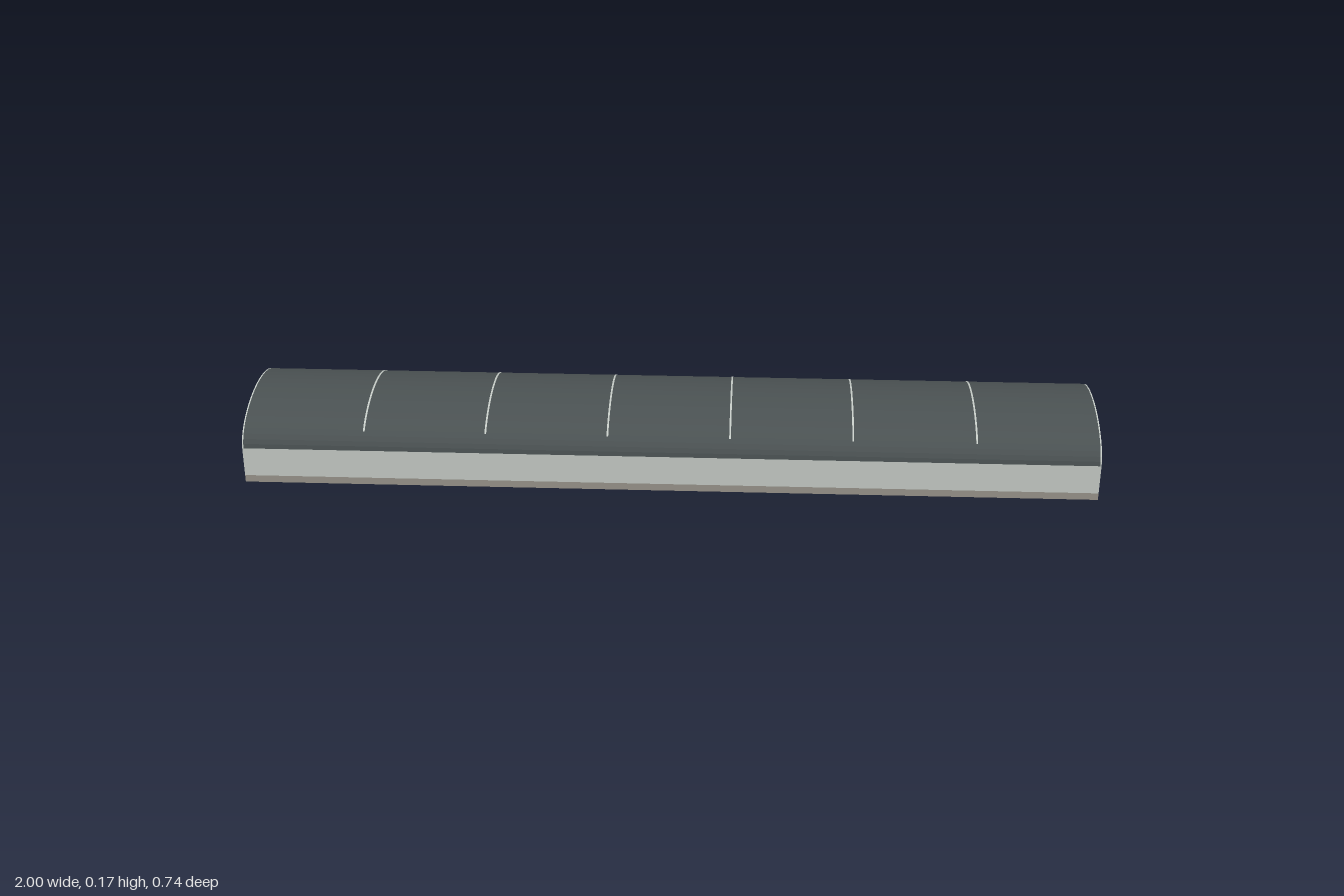
import * as THREE from 'three';

const LENGTH = 1.966, WIDTH = 0.366;
const BASE_TOP = 0.017, EAVE = 0.087, RIDGE = 0.168;
const BAYS = 7, SEGMENTS = 24, END = 0.003;

const material = (name, color) => {
  const m = new THREE.MeshStandardMaterial({ color });
  m.name = name;
  return m;
};

// Points on the elliptical vault, grown outwards by an offset
function arc(offset, from, to, n = SEGMENTS) {
  const points = [];
  for (let i = 0; i <= n; i++) {
    const a = from + (to - from) * i / n;
    points.push(new THREE.Vector2(
      Math.cos(a) * (WIDTH / 2 + offset),
      EAVE + Math.sin(a) * (RIDGE - EAVE + offset)));
  }
  return points;
}

// Cross-section extruded along the length of the hall, centred on x
function extrudeAlong(points, length, x, mat, name) {
  const geometry = new THREE.ExtrudeGeometry(new THREE.Shape(points), { depth: length, bevelEnabled: false });
  geometry.translate(0, 0, -length / 2).rotateY(Math.PI / 2);
  const mesh = new THREE.Mesh(geometry, mat);
  mesh.position.x = x;
  mesh.name = name;
  return mesh;
}

export function createModel() {
  const wall = material('pale wall', 0xc4cac5);
  const roof = material('dark slate roof', 0x4a5152);
  const stone = material('stone plinth', 0x98938a);

  const hall = new THREE.Group();
  hall.name = 'hall';

  const box = (y0, y1, length, mat, name) => {
    const mesh = new THREE.Mesh(new THREE.BoxGeometry(length, y1 - y0, WIDTH), mat);
    mesh.position.y = (y0 + y1) / 2;
    mesh.name = name;
    hall.add(mesh);
  };

  // Plinth and straight walls
  box(0, BASE_TOP, LENGTH, stone, 'plinth');
  box(BASE_TOP, EAVE, LENGTH, wall, 'walls');

  // Barrel roof between two gable plates
  hall.add(extrudeAlong(arc(0, 0, Math.PI), LENGTH - 2 * END, 0, roof, 'barrelRoof'));
  for (const side of [-1, 1]) {
    hall.add(extrudeAlong(arc(0, 0, Math.PI), END, side * (LENGTH - END) / 2, wall, 'gable'));
  }

  // Thin pale seams between the roof bays
  const start = 0.5, end = Math.PI - start;
  const seam = [...arc(0.0008, start, end), ...arc(-0.002, end, start)];
  for (let i = 1; i < BAYS; i++) {
    hall.add(extrudeAlong(seam, 0.004, LENGTH * (i / BAYS - 0.5), wall, 'roofSeam'));
  }

  // The hall stands at a slight angle to the axes
  hall.rotation.y = -0.1974;

  const model = new THREE.Group();
  model.name = 'longVaultedHall';
  model.add(hall);
  return model;
}
